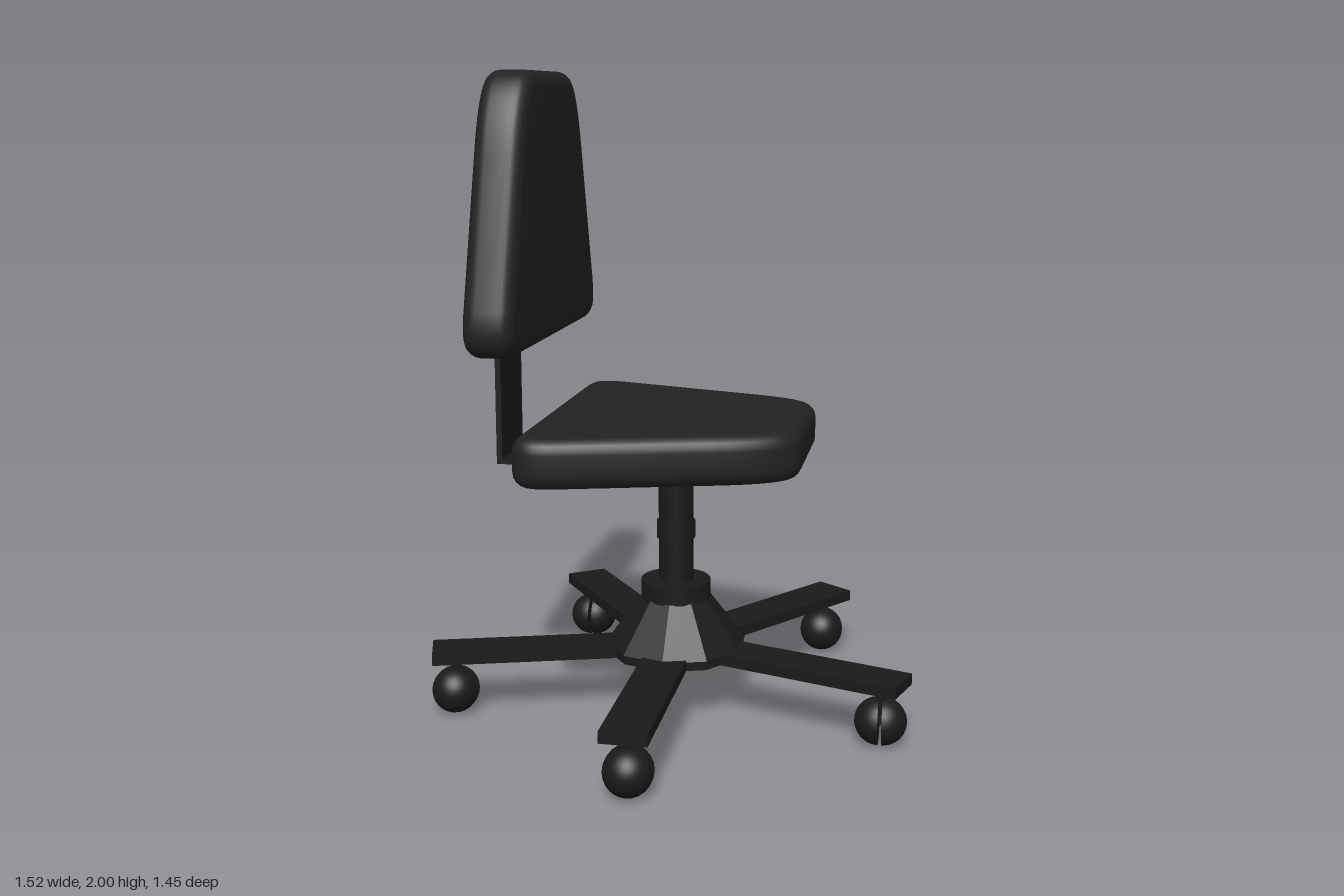
import * as THREE from 'three';
import { toCreasedNormals } from 'three/addons/utils/BufferGeometryUtils.js';

const fabric = new THREE.MeshStandardMaterial({ color: 0x222222 });
const metal = new THREE.MeshStandardMaterial({ color: 0x1a1a1a });
const metalFlat = new THREE.MeshStandardMaterial({ color: 0x1a1a1a, flatShading: true });

function add(parent, name, geometry, material, x = 0, y = 0, z = 0) {
  const mesh = new THREE.Mesh(geometry, material);
  mesh.name = name;
  mesh.position.set(x, y, z);
  parent.add(mesh);
  return mesh;
}

// Rounded trapezoid pad, upright, thickness along x, lower edge at y = 0
function cushionGeometry() {
  const h = 0.82, bevel = 0.045, thick = 0.152;
  const s = new THREE.Shape();
  s.moveTo(-0.41, 0);
  s.lineTo(0.41, 0);
  s.quadraticCurveTo(0.53, 0, 0.495, 0.14);
  s.lineTo(0.362, 0.587);
  s.quadraticCurveTo(0.295, h, 0.19, h);
  s.lineTo(-0.19, h);
  s.quadraticCurveTo(-0.295, h, -0.362, 0.587);
  s.lineTo(-0.495, 0.14);
  s.quadraticCurveTo(-0.53, 0, -0.41, 0);
  const g = new THREE.ExtrudeGeometry(s, {
    depth: thick - 2 * bevel, bevelSize: bevel, bevelThickness: bevel,
    bevelOffset: -bevel, bevelSegments: 5, curveSegments: 12,
  });
  g.translate(0, 0, bevel - thick / 2);
  g.rotateY(Math.PI / 2);
  return toCreasedNormals(g, 0.9);
}

// Twin-wheel ball caster with its stem
function makeCaster() {
  const caster = new THREE.Group();
  caster.name = 'caster';
  for (const side of [-1, 1]) {
    const half = new THREE.SphereGeometry(0.073, 24, 10, 0, Math.PI * 2, 0, Math.PI / 2);
    half.rotateX(side * Math.PI / 2);
    add(caster, 'wheelHalf', half, metal, 0, 0.075, side * 0.006);
    const cap = new THREE.CircleGeometry(0.073, 24);
    if (side > 0) cap.rotateY(Math.PI);
    add(caster, 'wheelInnerFace', cap, metal, 0, 0.075, side * 0.006);
  }
  add(caster, 'stem', new THREE.CylinderGeometry(0.012, 0.012, 0.12, 12), metal, 0, 0.125, 0);
  return caster;
}

export function createModel() {
  const chair = new THREE.Group();
  chair.name = 'swivelChair';
  const body = new THREE.Group();
  body.name = 'chairBody';
  body.position.z = -0.055;
  chair.add(body);

  // Five-arm base with casters
  const swivel = [0, Math.PI / 2, 0, Math.PI / 2, 0];
  for (let i = 0; i < 5; i++) {
    const a = (i * Math.PI * 2) / 5;
    const arm = new THREE.Group();
    arm.name = 'baseArm';
    arm.rotation.y = a;
    add(arm, 'armBar', new THREE.BoxGeometry(0.14, 0.035, 0.775), metal, 0, 0.1975, 0.3875);
    const caster = makeCaster();
    caster.position.z = 0.705;
    caster.rotation.y = swivel[i] - a;
    arm.add(caster);
    body.add(arm);
  }

  // Hub: plate, sloped skirt and collar
  add(body, 'hubPlate', new THREE.CylinderGeometry(0.22, 0.22, 0.034, 10), metalFlat, 0, 0.1975, 0);
  add(body, 'hubSkirt', new THREE.CylinderGeometry(0.112, 0.225, 0.15, 10), metalFlat, 0, 0.285, 0);
  add(body, 'hubCollar', new THREE.CylinderGeometry(0.11, 0.11, 0.07, 32), metal, 0, 0.38, 0);

  // Column
  add(body, 'column', new THREE.CylinderGeometry(0.055, 0.055, 0.4, 32), metal, 0, 0.6, 0);
  add(body, 'columnRing', new THREE.CylinderGeometry(0.061, 0.061, 0.055, 32), metal, 0, 0.58, 0);

  // Seat plate and L-shaped back bracket
  add(body, 'seatPlate', new THREE.BoxGeometry(0.31, 0.018, 0.36), metal, 0, 0.799, 0);
  add(body, 'bracketFoot', new THREE.BoxGeometry(0.55, 0.015, 0.225), metal, -0.275, 0.7975, 0);
  add(body, 'bracketPost', new THREE.BoxGeometry(0.018, 0.97, 0.225), metal, -0.543, 1.275, 0);

  // Cushions share one outline
  add(body, 'backrest', cushionGeometry(), fabric, -0.455, 1.18, 0);
  const seat = cushionGeometry();
  seat.rotateZ(-Math.PI / 2);
  add(body, 'seat', seat, fabric, -0.403, 0.884, 0);

  return chair;
}
